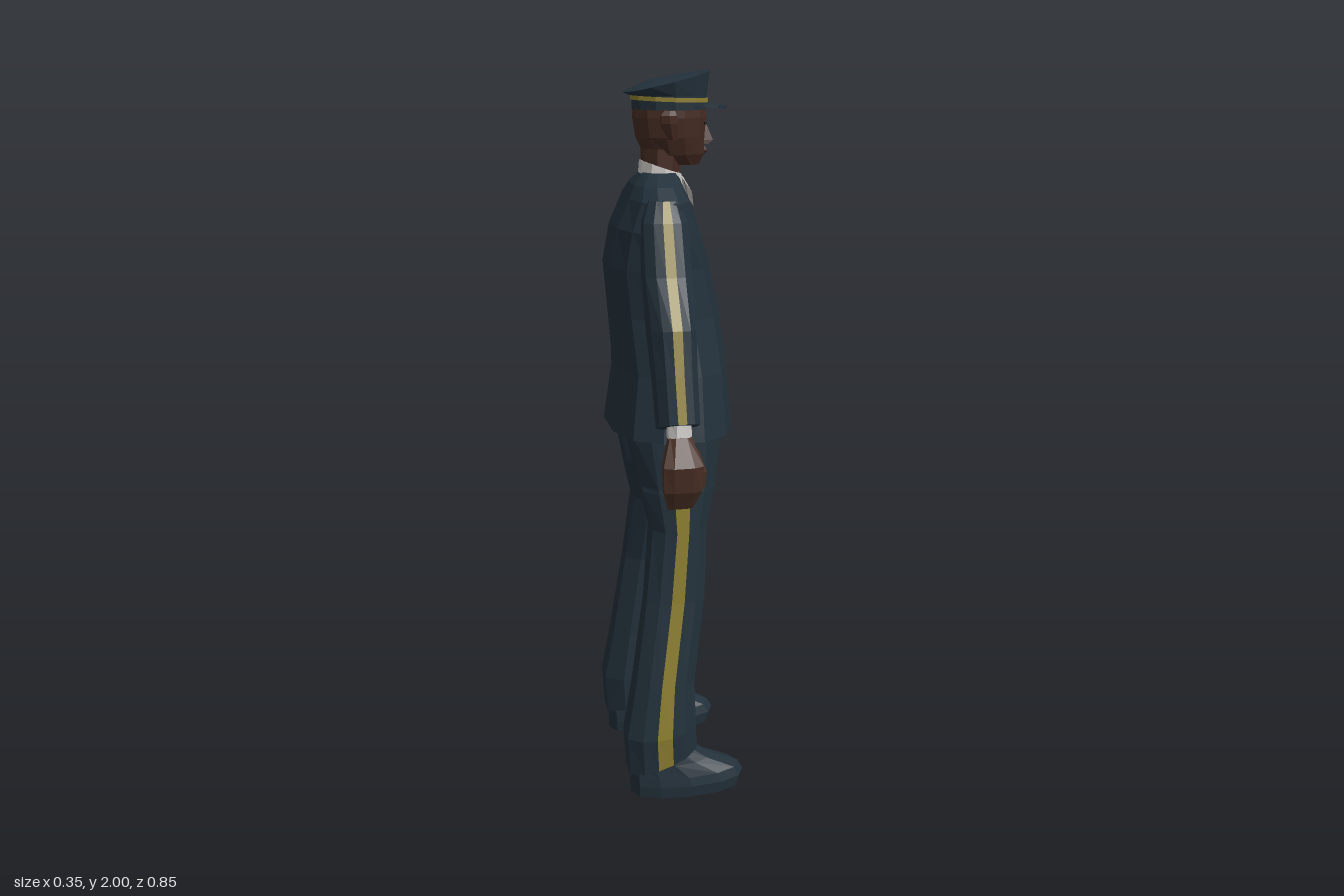
import * as THREE from 'three';

const mat = (name, color) => Object.assign(new THREE.MeshStandardMaterial({ color }), { name });
const navy = mat('navy cloth', 0x23313b);
const gold = mat('gold trim', 0x8c7d30);
const skin = mat('hand skin', 0x4b3026);
const face = mat('face skin', 0x452b22);
const white = mat('white shirt', 0xc9c6c2);
white.side = THREE.DoubleSide;
const dark = mat('dark features', 0x1c1513);

// Rounded unit cross-section; k > 1 makes it boxier, phase 0 puts a corner at the front.
function ring(n, k = 1, phase = 0.5) {
  const pts = Array.from({ length: n }, (_, i) => {
    const a = ((i + phase) / n) * Math.PI * 2, c = Math.cos(a), s = Math.sin(a);
    return [Math.sign(c) * Math.abs(c) ** (1 / k), Math.sign(s) * Math.abs(s) ** (1 / k)];
  });
  const mu = Math.max(...pts.map((p) => p[0])), mv = Math.max(...pts.map((p) => p[1]));
  return pts.map(([u, v]) => [u / mu, v / mv]);
}
// Limb section whose outermost facet (index 3) carries the stripe.
const LIMB = [[1, -0.45], [1, 0.45], [0.62, 0.88], [0.22, 1], [-0.22, 1], [-0.62, 0.88],
  [-1, 0.45], [-1, -0.45], [-0.5, -1], [0.5, -1]];

// Flat-faceted loft, bottom to top. Section: [y, x0, x1, z0, z1, tiltX, tiltZ].
function loft(name, sections, unit, material, { side = 1, stripe = -1 } = {}) {
  const rows = sections.map(([y, x0, x1, z0, z1, tx = 0, tz = 0]) => unit.map(([u, v]) => [
    (x0 + x1) / 2 + (u * (x1 - x0)) / 2,
    y + tx * u + tz * v,
    side * ((z0 + z1) / 2 + (v * (z1 - z0)) / 2),
  ]));
  const n = unit.length, base = [], trim = [];
  const tri = (out, a, b, c) => out.push(...a, ...(side > 0 ? [...b, ...c] : [...c, ...b]));
  for (let r = 0; r + 1 < rows.length; r++) {
    for (let i = 0; i < n; i++) {
      const j = (i + 1) % n, out = i === stripe ? trim : base;
      tri(out, rows[r][i], rows[r + 1][i], rows[r + 1][j]);
      tri(out, rows[r][i], rows[r + 1][j], rows[r][j]);
    }
  }
  const last = rows[rows.length - 1];
  for (let i = 1; i + 1 < n; i++) {
    tri(base, rows[0][0], rows[0][i], rows[0][i + 1]);
    tri(base, last[0], last[i + 1], last[i]);
  }
  const geo = new THREE.BufferGeometry();
  geo.setAttribute('position', new THREE.Float32BufferAttribute([...base, ...trim], 3));
  geo.computeVertexNormals();
  let m = material;
  if (trim.length) {
    geo.addGroup(0, base.length / 3, 0);
    geo.addGroup(base.length / 3, trim.length / 3, 1);
    m = [material, gold];
  }
  const mesh = new THREE.Mesh(geo, m);
  mesh.name = name;
  return mesh;
}

function box(name, material, w, h, d, x, y, z) {
  const mesh = new THREE.Mesh(new THREE.BoxGeometry(w, h, d), material);
  mesh.name = name;
  mesh.position.set(x, y, z);
  return mesh;
}

export function createModel() {
  const model = new THREE.Group();
  model.name = 'uniformedMan';
  const sym = (y, x0, x1, hz, tilt = 0) => [y, x0, x1, -hz, hz, tilt];

  // Jacket
  model.add(loft('jacket', [
    sym(1.05, -0.176, 0.157, 0.227),
    sym(1.22, -0.152, 0.142, 0.2),
    sym(1.37, -0.165, 0.122, 0.175),
    sym(1.5, -0.176, 0.092, 0.178),
    sym(1.6, -0.156, 0.063, 0.192),
    sym(1.675, -0.122, 0.036, 0.19),
    sym(1.71, -0.105, 0.022, 0.135),
    sym(1.74, -0.08, 0.014, 0.07),
  ], ring(12, 1.2), navy));
  model.add(box('badge', white, 0.006, 0.01, 0.008, 0.076, 1.57, -0.12));

  // Shirt collar with two front points
  model.add(loft('collar', [
    sym(1.705, -0.085, 0.03, 0.072, -0.01),
    sym(1.752, -0.08, 0.026, 0.066, -0.018),
  ], ring(10), white));
  for (const s of [1, -1]) {
    const flap = new THREE.BufferGeometry();
    flap.setAttribute('position', new THREE.Float32BufferAttribute([
      0.004, 1.748, 0.068 * s, 0.045, 1.69, 0.066 * s, 0.036, 1.722, 0.004 * s,
      0.036, 1.722, 0.004 * s, 0.045, 1.69, 0.066 * s, 0.056, 1.65, 0.036 * s,
      0.036, 1.722, 0.004 * s, 0.056, 1.65, 0.036 * s, 0.05, 1.665, 0.004 * s,
    ], 3));
    flap.computeVertexNormals();
    const mesh = new THREE.Mesh(flap, white);
    mesh.name = 'collarPoint';
    model.add(mesh);
  }

  // Head and neck
  const head = new THREE.Group();
  head.name = 'head';
  head.add(loft('neck', [sym(1.7, -0.075, 0.018, 0.054), sym(1.8, -0.075, 0.028, 0.057)], ring(8), face));
  head.add(loft('skull', [
    sym(1.757, 0.0, 0.076, 0.034),
    sym(1.785, -0.07, 0.088, 0.058),
    sym(1.83, -0.09, 0.088, 0.075),
    sym(1.88, -0.098, 0.092, 0.081),
    sym(1.92, -0.095, 0.086, 0.08),
  ], ring(12), face));
  head.add(loft('nose', [
    sym(1.81, 0.07, 0.1, 0.019),
    sym(1.82, 0.07, 0.112, 0.018),
    sym(1.868, 0.07, 0.093, 0.008),
  ], ring(4, 1.5), face));
  head.add(loft('lips', [
    sym(1.782, 0.06, 0.09, 0.018),
    sym(1.793, 0.06, 0.098, 0.026),
    sym(1.804, 0.06, 0.092, 0.016),
  ], ring(6), face));
  for (const s of [1, -1]) {
    head.add(loft('ear', [
      [1.826, -0.02, 0.0, 0.066, 0.084],
      [1.868, -0.044, 0.002, 0.07, 0.1],
      [1.888, -0.044, -0.002, 0.074, 0.102],
      [1.9, -0.034, -0.006, 0.074, 0.092],
    ], ring(6), face, { side: s }));
    head.add(box('eye', dark, 0.005, 0.006, 0.024, 0.087, 1.864, 0.032 * s));
  }
  model.add(head);

  // Peaked cap
  const cap = new THREE.Group();
  cap.name = 'cap';
  const round = ring(12, 1, 0);
  cap.add(loft('capCrown', [
    sym(1.9, -0.102, 0.097, 0.086),
    sym(1.935, -0.104, 0.098, 0.088),
    sym(1.971, -0.127, 0.106, 0.1, 0.028),
    sym(1.983, -0.06, 0.07, 0.05, 0.011),
  ], round, navy));
  cap.add(loft('capBand', [
    sym(1.921, -0.107, 0.102, 0.091, -0.004),
    sym(1.932, -0.107, 0.102, 0.091, -0.004),
  ], round, gold));
  cap.add(loft('capVisor', [
    sym(1.908, 0.0, 0.146, 0.083, -0.008),
    sym(1.916, 0.0, 0.146, 0.083, -0.008),
  ], ring(14, 1.2), navy));
  model.add(cap);

  // Limbs, mirrored left and right
  for (const side of [1, -1]) {
    const name = side > 0 ? 'left' : 'right';
    const arm = new THREE.Group();
    arm.name = name === 'left' ? 'rightArm' : 'leftArm';
    arm.add(loft('sleeve', [
      [1.132, -0.105, 0.0, 0.285, 0.4, 0, 0.022],
      [1.25, -0.108, 0.0, 0.245, 0.372, 0, 0.02],
      [1.36, -0.112, 0.004, 0.185, 0.345, 0, 0.02],
      [1.5, -0.114, 0.008, 0.14, 0.268],
      [1.63, -0.11, 0.006, 0.11, 0.22],
      [1.682, -0.09, -0.01, 0.1, 0.188],
    ], LIMB, navy, { side, stripe: 3 }));
    arm.add(loft('cuff', [
      [1.104, -0.082, -0.022, 0.33, 0.388, 0, 0.012],
      [1.16, -0.082, -0.022, 0.31, 0.378, 0, 0.012],
    ], ring(8), white, { side }));
    arm.add(loft('hand', [
      [0.922, -0.085, -0.02, 0.364, 0.378],
      [0.975, -0.1, -0.002, 0.374, 0.408],
      [1.045, -0.104, 0.0, 0.374, 0.423],
      [1.12, -0.078, -0.026, 0.335, 0.38],
    ], ring(8, 1.3), skin, { side }));
    arm.add(loft('thumb', [
      [0.975, -0.004, 0.012, 0.362, 0.376],
      [1.02, -0.012, 0.015, 0.356, 0.388],
      [1.075, -0.04, -0.005, 0.348, 0.39],
    ], ring(6), skin, { side }));
    model.add(arm);

    const leg = new THREE.Group();
    leg.name = name === 'left' ? 'rightLeg' : 'leftLeg';
    leg.add(loft('trouserLeg', [
      [0.105, -0.163, 0.03, 0.118, 0.265, 0.032],
      [0.2, -0.17, 0.026, 0.11, 0.274, 0.01],
      [0.35, -0.142, 0.024, 0.11, 0.257],
      [0.59, -0.107, 0.056, 0.104, 0.228],
      [0.79, -0.085, 0.066, 0.058, 0.217],
      [0.9, -0.11, 0.09, 0.018, 0.211],
      [0.912, -0.112, 0.093, 0.0, 0.21],
      [1.08, -0.145, 0.112, 0.0, 0.2],
    ], LIMB, navy, { side, stripe: 3 }));
    leg.add(loft('shoe', [
      [0, -0.155, 0.165, 0.123, 0.257],
      [0.035, -0.157, 0.175, 0.12, 0.262],
      [0.062, -0.157, 0.16, 0.124, 0.258],
      [0.1, -0.15, 0.075, 0.135, 0.25],
      [0.15, -0.13, 0.0, 0.145, 0.24],
    ], ring(12, 1.1, 0), navy, { side }));
    model.add(leg);
  }
  return model;
}
